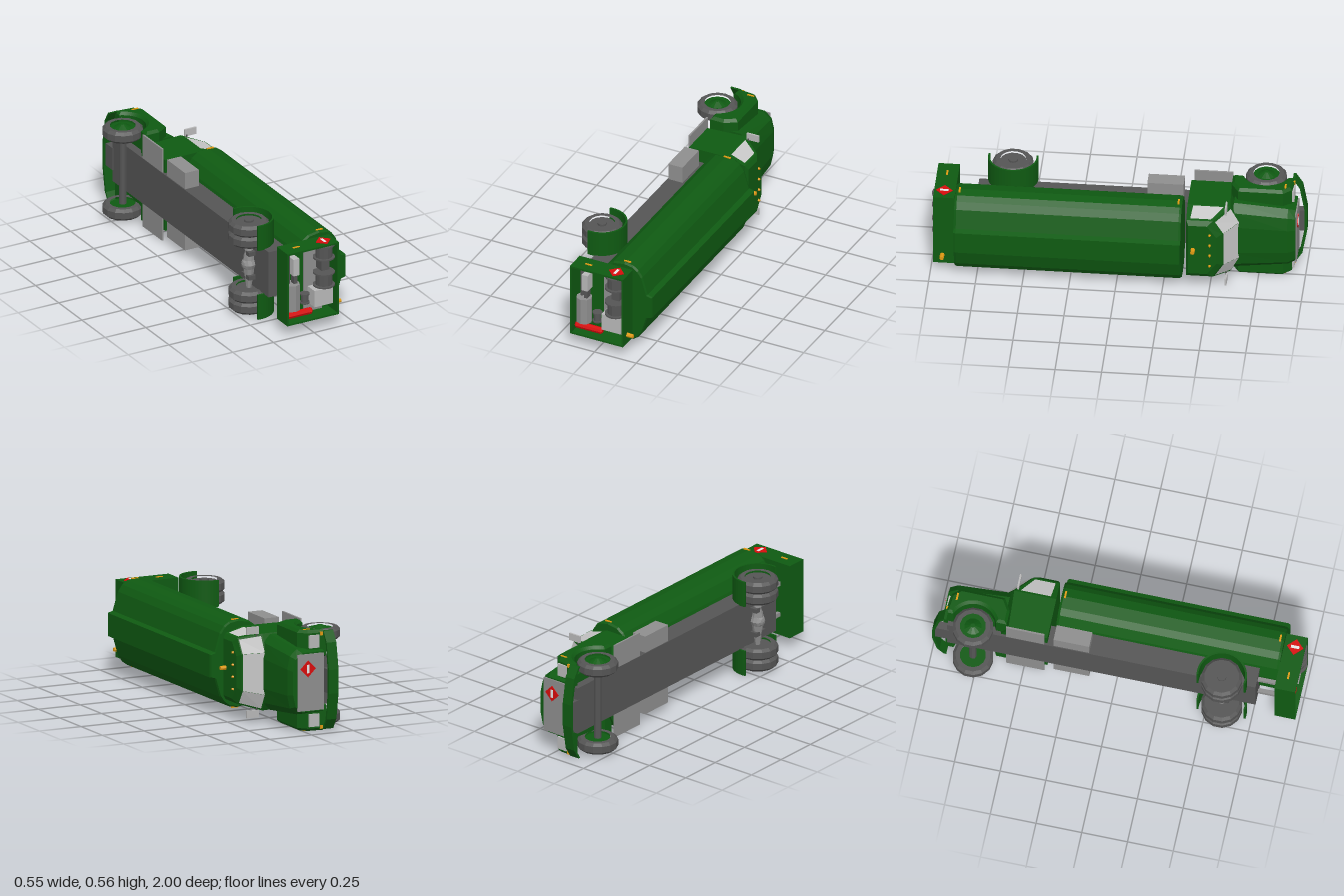
import * as THREE from 'three';

const mat = (name, color) => Object.assign(new THREE.MeshStandardMaterial({ color }), { name });
const GREEN = mat('green paint', 0x0f5a12), DARK = mat('dark grey', 0x555555), GREY = mat('mid grey', 0x8e8e8e),
  LIGHT = mat('light grey', 0xb8b8b8), GLASS = mat('pale glass', 0xc8c8c8), RED = mat('red', 0xd80c0c),
  AMBER = mat('amber', 0xe09a12), WHITE = mat('white', 0xf0f0f0);
const SIDES = [1, -1];

export function createModel() {
  // Built upright (y up, nose towards -z), then laid on its side at the end.
  const truck = new THREE.Group();
  truck.name = 'tankTruck';

  const add = (name, geo, m, parent = truck) => {
    const flat = geo.index ? geo.toNonIndexed() : geo;
    flat.computeVertexNormals();
    const mesh = new THREE.Mesh(flat, m);
    mesh.name = name;
    parent.add(mesh);
    return mesh;
  };
  // Box given by its min and max on each axis
  const box = (name, m, x0, x1, y0, y1, z0, z1) => {
    const mesh = add(name, new THREE.BoxGeometry(x1 - x0, y1 - y0, z1 - z0), m);
    mesh.position.set((x0 + x1) / 2, (y0 + y1) / 2, (z0 + z1) / 2);
    return mesh;
  };
  const cyl = (name, m, rTop, rBottom, h, x, y, z, axis = 'y', n = 12) => {
    const g = new THREE.CylinderGeometry(rTop, rBottom, h, n);
    if (axis === 'x') g.rotateZ(-Math.PI / 2);
    g.translate(x, y, z);
    return add(name, g, m);
  };
  // Skin through equal-sized rings (anticlockwise about the direction of travel), with end caps
  const loft = (name, m, rings) => {
    const p = [], tri = (...v) => v.forEach(a => p.push(...a));
    const n = rings[0].length;
    for (let k = 0; k + 1 < rings.length; k++) {
      for (let i = 0; i < n; i++) {
        const j = (i + 1) % n, a = rings[k], b = rings[k + 1];
        tri(a[i], a[j], b[j]);
        tri(a[i], b[j], b[i]);
      }
    }
    const s = rings[0], e = rings[rings.length - 1];
    for (let i = 1; i + 1 < n; i++) {
      tri(s[0], s[i + 1], s[i]);
      tri(e[0], e[i], e[i + 1]);
    }
    const g = new THREE.BufferGeometry();
    g.setAttribute('position', new THREE.Float32BufferAttribute(p, 3));
    return add(name, g, m);
  };
  const mirrored = half => [...half, ...half.map(([x, y]) => [-x, y]).reverse()];
  // Extrude a (z, y) outline across the truck from x0 to x1
  const sideExtrude = (name, m, shape, x0, x1, bevel = 0) => {
    const g = new THREE.ExtrudeGeometry(shape, {
      depth: x1 - x0 - 2 * bevel, bevelEnabled: bevel > 0, bevelThickness: bevel,
      bevelSize: bevel, bevelOffset: -bevel, bevelSegments: 1, curveSegments: 14,
    });
    g.rotateY(-Math.PI / 2).translate(x1 - bevel, 0, 0);
    return add(name, g, m);
  };

  // Tank with a raised spine and slightly chamfered ends
  const section = mirrored([[0.07, -0.053], [0.15, -0.025], [0.205, 0.01], [0.229, 0.045], [0.24, 0.11],
    [0.231, 0.16], [0.21, 0.19], [0.174, 0.215], [0.072, 0.245], [0.063, 0.275]]);
  loft('tank', GREEN, [[-0.35, 0.97], [-0.338, 1], [0.855, 1], [0.867, 0.97]]
    .map(([z, s]) => section.map(([x, y]) => [x * s, 0.11 + (y - 0.11) * s, z])));

  // Chassis, side lockers and steps
  box('chassis', DARK, -0.133, 0.133, -0.145, -0.03, -0.92, 0.765);
  for (const s of SIDES) {
    box('rearRail', GREY, s * 0.09 - 0.012, s * 0.09 + 0.012, -0.09, -0.07, 0.76, 0.875);
    box('sideLocker', GREY, s * 0.18 - 0.048, s * 0.18 + 0.048, -0.14, -0.055, -0.34, -0.145);
    box('stepPlate', GREY, s * 0.2 - 0.07, s * 0.2 + 0.07, -0.143, -0.133, -0.6, -0.39);
  }

  // Cab: stacked rings of [height, half width, front z, back z]
  const cab = [[-0.132, 0.208, -0.64, -0.375], [0.095, 0.21, -0.655, -0.375],
    [0.2, 0.18, -0.57, -0.378], [0.217, 0.155, -0.54, -0.39]]
    .map(([y, w, f, b]) => [[w, y, b], [w, y, f + 0.05], [w * 0.55, y, f], [-w * 0.55, y, f], [-w, y, f + 0.05], [-w, y, b]]);
  loft('cab', GREEN, cab);

  // Window panes laid just proud of the faces between the sill and roof rings
  const pane = (name, i, u0, u1, v0, v1) => {
    const [a, b, c, d] = [cab[1][i], cab[1][i + 1], cab[2][i + 1], cab[2][i]].map(q => new THREE.Vector3(...q));
    const normal = b.clone().sub(a).cross(d.clone().sub(a)).normalize().multiplyScalar(0.003);
    const at = (u, v) => a.clone().lerp(b, u).lerp(d.clone().lerp(c, u), v).add(normal);
    const q = [at(u0, v0), at(u1, v0), at(u1, v1), at(u0, v1)];
    const g = new THREE.BufferGeometry().setFromPoints([q[0], q[1], q[2], q[0], q[2], q[3]]);
    add(name, g, GLASS);
  };
  pane('leftWindow', 0, 0.14, 0.88, 0.08, 0.9);
  pane('windshieldCorner', 1, 0.12, 1, 0.06, 0.95);
  pane('windshield', 2, 0, 1, 0.06, 0.95);
  pane('windshieldCorner', 3, 0, 0.88, 0.06, 0.95);
  pane('rightWindow', 4, 0.12, 0.86, 0.08, 0.9);

  // Hood and grille
  loft('hood', GREEN, [[-0.95, 0.162, 0.085], [-0.91, 0.178, 0.1], [-0.62, 0.207, 0.11]].map(([z, w, t]) =>
    mirrored([[w, -0.1], [w, t - 0.055], [w * 0.8, t - 0.015], [w * 0.4, t]]).map(([x, y]) => [x, y, z])));
  box('grille', GREY, -0.155, 0.155, -0.095, 0.06, -0.957, -0.949);

  // Front fenders with wheel arches, lamps and mirrors
  const arch = new THREE.Shape();
  arch.moveTo(-0.6, -0.12);
  arch.lineTo(-0.6, -0.04);
  arch.lineTo(-0.64, 0.025);
  arch.lineTo(-0.88, 0.025);
  arch.lineTo(-0.925, -0.015);
  arch.lineTo(-0.935, -0.12);
  arch.absarc(-0.775, -0.165, 0.125, Math.PI - 0.37, 0.37, true);
  for (const s of SIDES) {
    sideExtrude('frontFender', GREEN, arch, s > 0 ? 0.12 : -0.275, s > 0 ? 0.275 : -0.12, 0.015);
    box('headlight', LIGHT, s * 0.215 - 0.035, s * 0.215 + 0.035, -0.08, -0.02, -0.937, -0.925);
    box('turnSignal', AMBER, s * 0.255 - 0.01, s * 0.255 + 0.01, -0.1, -0.085, -0.936, -0.92);
    box('mirror', LIGHT, s * 0.228 - 0.02, s * 0.228 + 0.02, 0.107, 0.18, -0.592, -0.582);
    box('mirrorArm', DARK, s * 0.205 - 0.012, s * 0.205 + 0.012, 0.115, 0.122, -0.59, -0.58);
  }

  // Curved bumper and its bracket
  const plan = [[-0.268, -0.935], [-0.21, -0.972], [-0.065, -0.998], [0.065, -0.998], [0.21, -0.972], [0.268, -0.935]];
  const strip = new THREE.Shape([...plan, ...plan.map(([x, z]) => [x, z + 0.014]).reverse()].map(p => new THREE.Vector2(...p)));
  add('bumper', new THREE.ExtrudeGeometry(strip, { depth: 0.058, bevelEnabled: false })
    .rotateX(Math.PI / 2).translate(0, -0.105, 0), GREEN);
  box('bumperBracket', DARK, -0.065, 0.065, -0.15, -0.108, -0.985, -0.91);

  // Wheels
  const tyre = [[0.07, -0.033], [0.094, -0.033], [0.11, -0.018], [0.11, 0.018], [0.094, 0.033], [0.07, 0.033]]
    .map(p => new THREE.Vector2(...p));
  const wheel = (name, x, z, hub) => {
    add(name + 'Tyre', new THREE.LatheGeometry(tyre, 14).rotateZ(-Math.PI / 2).translate(x, -0.165, z), DARK);
    cyl(name + 'Hub', hub, 0.071, 0.071, 0.045, x, -0.165, z, 'x', 14);
  };
  for (const s of SIDES) {
    wheel('frontWheel', s * 0.227, -0.775, GREEN);
    cyl('frontHubCap', GREEN, s > 0 ? 0.012 : 0.05, s > 0 ? 0.05 : 0.012, 0.02, s * 0.258, -0.165, -0.775, 'x');
    wheel('rearOuterWheel', s * 0.227, 0.585, DARK);
    wheel('rearInnerWheel', s * 0.162, 0.585, DARK);
    cyl('rearHubCap', DARK, 0.025, 0.025, 0.02, s * 0.25, -0.165, 0.585, 'x');
    cyl('rearAxle', GREY, s > 0 ? 0.014 : 0.032, s > 0 ? 0.032 : 0.014, 0.12, s * 0.08, -0.165, 0.585, 'x', 8);
    box('spring', DARK, s * 0.07 - 0.012, s * 0.07 + 0.012, -0.187, -0.14, 0.545, 0.625);

    // Rear fender: thin arc over the dual wheels
    const arc = new THREE.Shape();
    arc.absarc(0.585, -0.165, 0.135, -0.15, Math.PI + 0.15, false);
    arc.absarc(0.585, -0.165, 0.125, Math.PI + 0.15, -0.15, true);
    sideExtrude('rearFender', GREEN, arc, s > 0 ? 0.13 : -0.275, s > 0 ? 0.275 : -0.13);
  }
  add('differential', new THREE.SphereGeometry(0.041, 8, 6).translate(0, -0.165, 0.585), GREY);
  cyl('frontAxle', DARK, 0.02, 0.02, 0.4, 0, -0.165, -0.775, 'x', 8);

  // Rear equipment cabinet, open at the back
  box('cabinetBackPanel', GREEN, -0.212, 0.212, -0.155, 0.163, 0.87, 0.88);
  for (const s of SIDES) box('cabinetSide', GREEN, s * 0.207 - 0.005, s * 0.207 + 0.005, -0.155, 0.163, 0.875, 0.985);
  box('cabinetFloor', GREEN, -0.205, 0.205, -0.155, -0.145, 0.875, 0.985);
  box('cabinetRoof', GREEN, -0.205, 0.205, 0.153, 0.163, 0.875, 0.985);
  box('mountingPanel', GREY, -0.202, 0.202, 0, 0.11, 0.88, 0.89);

  // Cabinet equipment
  const reel = (name, x, y, z, half, r, drum) => {
    cyl(name + 'Drum', DARK, drum, drum, half * 2, x, y, z, 'x');
    for (const s of SIDES) cyl(name + 'Flange', DARK, r, r, 0.008, x + s * (half - 0.004), y, z, 'x', 14);
  };
  reel('hoseReel', -0.16, 0.096, 0.937, 0.041, 0.06, 0.046);
  reel('hoseReel', 0.002, 0.096, 0.937, 0.041, 0.06, 0.046);
  reel('smallReel', 0.097, -0.018, 0.93, 0.029, 0.027, 0.02);
  box('reelMotor', DARK, -0.12, -0.047, 0.075, 0.123, 0.89, 0.95);
  box('controlBox', LIGHT, 0.053, 0.149, 0.023, 0.137, 0.89, 0.965);
  cyl('filterTank', GREY, 0.044, 0.044, 0.152, 0.069, -0.097, 0.93, 'x', 8);
  cyl('pipe', DARK, 0.01, 0.01, 0.196, -0.105, -0.115, 0.92, 'x', 8);
  box('meter', LIGHT, -0.155, -0.058, -0.1, -0.064, 0.9, 0.955);
  box('meterStub', DARK, -0.058, 0, -0.092, -0.071, 0.91, 0.945);
  cyl('extinguisher', RED, 0.019, 0.019, 0.147, 0.174, -0.062, 0.94, 'y', 8);
  cyl('extinguisherTop', RED, 0.012, 0.019, 0.008, 0.174, 0.0155, 0.94, 'y', 8);
  cyl('extinguisherBase', RED, 0.019, 0.012, 0.008, 0.174, -0.1395, 0.94, 'y', 8);

  // Warning diamonds with a plain white bar
  const diamond = (x, y, z, turn) => {
    const g = new THREE.Group();
    g.name = 'warningDiamond';
    add('diamondPlate', new THREE.BoxGeometry(0.064, 0.064, 0.004).rotateZ(Math.PI / 4), RED, g);
    add('diamondBar', new THREE.BoxGeometry(0.046, 0.016, 0.007), WHITE, g);
    g.position.set(x, y, z);
    g.rotation.y = turn;
    truck.add(g);
  };
  for (const s of SIDES) diamond(s * 0.214, 0.096, 0.93, Math.PI / 2);
  diamond(-0.075, 0.0, -0.959, 0);

  // Amber marker lamps
  for (const s of SIDES) {
    for (const [x, y, z] of [[0.213, -0.07, 0.93], [0.24, 0.12, -0.33], [0.24, 0.12, 0.845], [0.275, -0.025, -0.89]]) {
      box('sideMarker', AMBER, s * x - 0.003, s * x + 0.003, y - 0.02, y + 0.02, z - 0.005, z + 0.005);
    }
    for (const x of [0.033, 0.1]) cyl('roofMarker', AMBER, 0.005, 0.009, 0.014, s * x, 0.22, -0.505, 'y', 6);
  }
  cyl('cabBeacon', AMBER, 0.011, 0.013, 0.035, 0, 0.232, -0.415, 'y', 8);
  cyl('cabinetBeacon', AMBER, 0.011, 0.013, 0.037, 0.16, 0.181, 0.935, 'y', 8);

  // Lay the truck on its side
  truck.rotation.z = -Math.PI / 2;
  truck.position.y = 0.275;
  const model = new THREE.Group();
  model.name = 'model';
  model.add(truck);
  return model;
}
